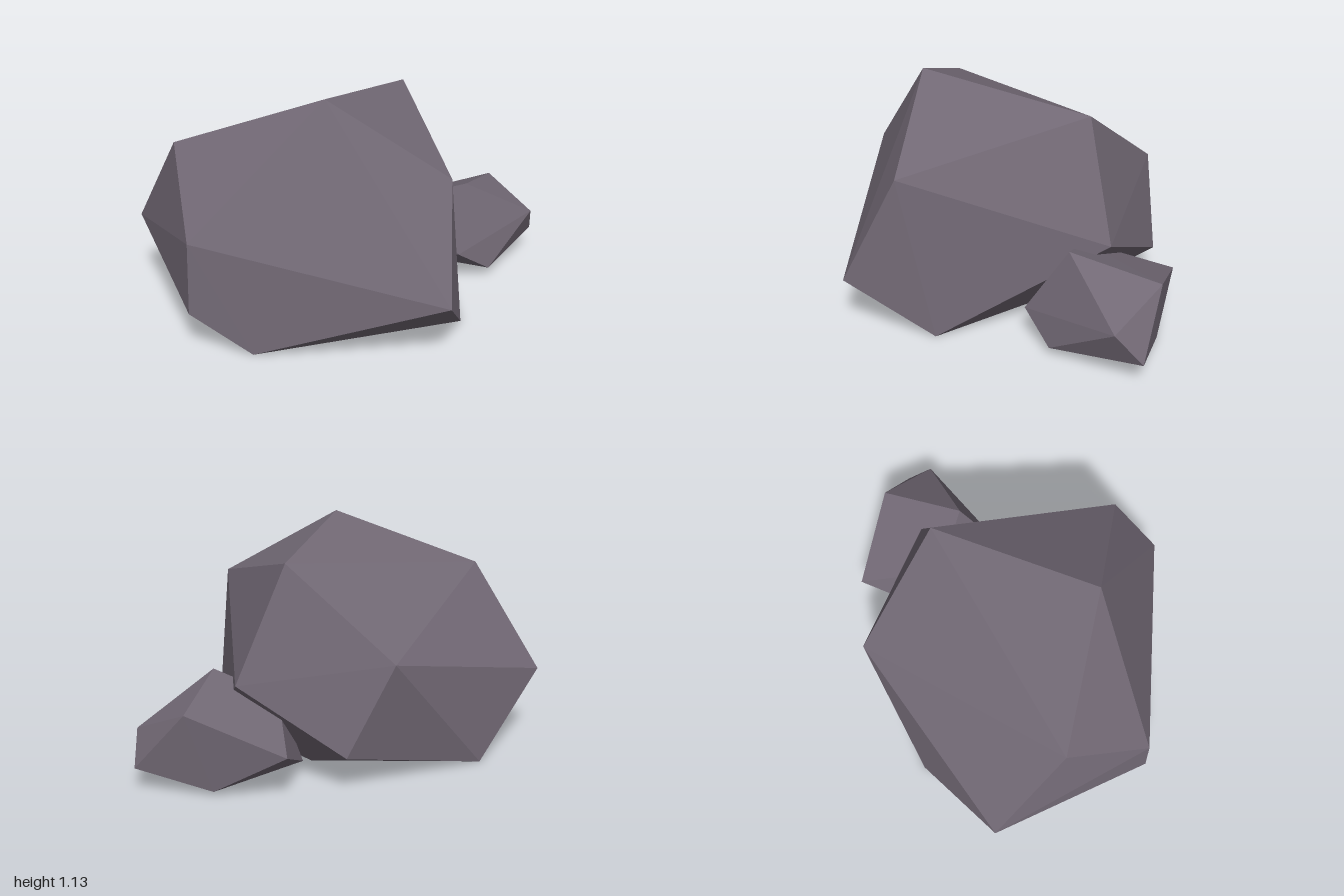
import * as THREE from 'three';
import { ConvexGeometry } from 'three/addons/geometries/ConvexGeometry.js';

// Faceted stone: the convex hull of a few corner points
function stone(name, corners, material) {
  const points = corners.map((c) => new THREE.Vector3(...c));
  const mesh = new THREE.Mesh(new ConvexGeometry(points), material);
  mesh.name = name;
  return mesh;
}

export function createModel() {
  const group = new THREE.Group();
  group.name = 'rocks';
  const rock = new THREE.MeshStandardMaterial({ color: 0x716874, flatShading: true });
  rock.name = 'purple grey stone';

  group.add(stone('largeBoulder', [
    // crown
    [-0.42, 1.13, 0.2], [0.44, 1.01, 0.06], [-0.69, 0.86, -0.5], [-0.2, 0.8, 0.75], [0.48, 0.6, -0.52],
    // belly
    [-0.98, 0.52, -0.16], [0.65, 0.45, 0.22], [-0.56, 0.35, -0.9], [-0.42, 0.28, 0.9],
    [-1, 0.18, -0.15], [0.62, 0.17, -0.34],
    // foot
    [-0.87, 0, 0.12], [-0.02, 0, 0.72], [0.32, 0, -0.01], [-0.02, 0, -0.77],
  ], rock));

  group.add(stone('smallStone', [
    // crown
    [0.53, 0.48, 0.41], [0.96, 0.39, 0.31], [0.45, 0.36, 0.1],
    // belly
    [0.88, 0.26, 0.62], [0.82, 0.21, -0.14], [0.34, 0.16, 0.49], [1, 0.11, 0.56],
    // foot
    [0.52, 0.04, 0.57], [0.41, 0.03, -0.01], [0.9, 0.02, 0.2],
  ], rock));

  return group;
}
